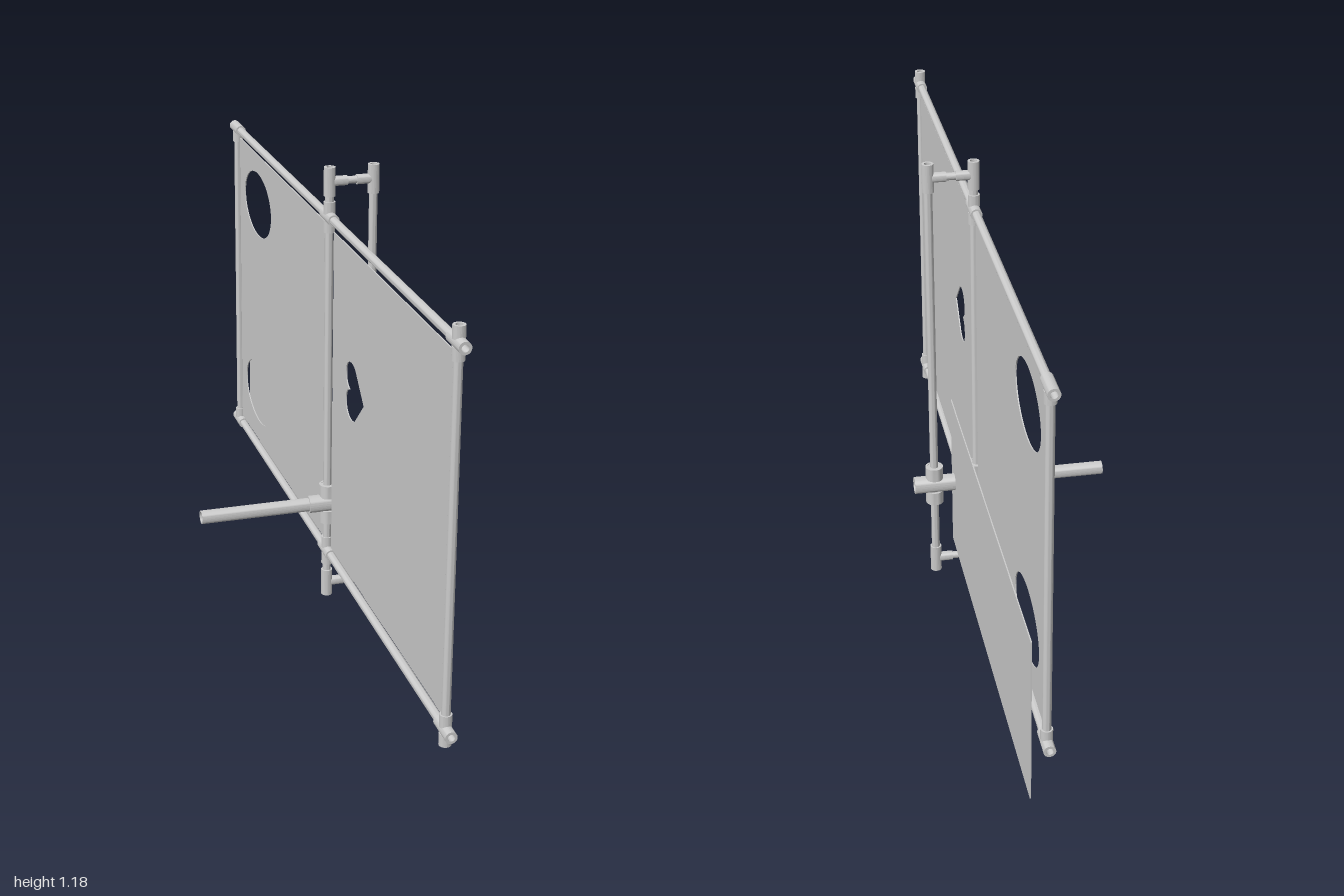
import * as THREE from 'three';
import { toCreasedNormals } from 'three/addons/utils/BufferGeometryUtils.js';

const material = new THREE.MeshStandardMaterial({ color: 0xcccccc });
const FRAME_X = 0.086, POST_Z = 0.036, OUTER_X = 0.2;
const TOP_Y = 1.055, BOTTOM_Y = 0.132, CROSS_Y = 0.27;
const FRONT_Z = 0.963, BACK_Z = -0.9;
const PIPE = 0.0108, BORE = 0.0085, SOCKET = 0.0148;

// Hollow tube along an axis, running from offset a to b about the centre point
function tube(name, axis, centre, a, b, outer = PIPE, bore = BORE) {
  const profile = [[bore, a], [outer, a], [outer, b], [bore, b], [bore, a]]
    .map(([r, y]) => new THREE.Vector2(r, y));
  let geometry = new THREE.LatheGeometry(profile, 28);
  if (axis === 'x') geometry.rotateZ(-Math.PI / 2);
  if (axis === 'z') geometry.rotateX(Math.PI / 2);
  geometry = toCreasedNormals(geometry, 0.6);
  const mesh = new THREE.Mesh(geometry, material);
  mesh.name = name;
  mesh.position.set(...centre);
  return mesh;
}

// Pipe fitting: a straight run plus side arms (+1 and/or -1) on another axis
function fitting(name, centre, runAxis, armAxis, arms, half, outer = SOCKET, bore = BORE, armOuter = outer) {
  const group = new THREE.Group();
  group.name = name;
  group.add(tube('fittingRun', runAxis, centre, -half, half, outer, bore));
  for (const s of arms) {
    const [a, b] = s > 0 ? [bore, half] : [-half, -bore];
    group.add(tube('fittingArm', armAxis, centre, a, b, armOuter, bore));
  }
  return group;
}

// Thin upright sheet in the z-y plane, with optional cut-outs
function sheet(name, x, z0, z1, y0, y1, holes = []) {
  const shape = new THREE.Shape([[z0, y0], [z1, y0], [z1, y1], [z0, y1]].map((p) => new THREE.Vector2(...p)));
  shape.holes.push(...holes);
  const depth = 0.003;
  const geometry = new THREE.ExtrudeGeometry(shape, { depth, bevelEnabled: false, curveSegments: 24 });
  geometry.rotateY(-Math.PI / 2).translate(x + depth / 2, 0, 0);
  const mesh = new THREE.Mesh(geometry, material);
  mesh.name = name;
  return mesh;
}

function ellipseHole(z, y, rz, ry) {
  const path = new THREE.Path();
  path.absellipse(z, y, rz, ry, 0, Math.PI * 2, true);
  return path;
}

// Heart lying on its side, tip towards the front
function heartHole() {
  const y = 0.664, path = new THREE.Path();
  path.moveTo(0.34, y);
  path.lineTo(0.272, y + 0.066);
  path.bezierCurveTo(0.245, y + 0.086, 0.195, y + 0.076, 0.195, y + 0.038);
  path.bezierCurveTo(0.195, y + 0.018, 0.205, y + 0.004, 0.225, y);
  path.bezierCurveTo(0.205, y - 0.004, 0.195, y - 0.018, 0.195, y - 0.038);
  path.bezierCurveTo(0.195, y - 0.076, 0.245, y - 0.086, 0.272, y - 0.066);
  path.lineTo(0.34, y);
  return path;
}

export function createModel() {
  const model = new THREE.Group();
  const half = 0.0375, crossHalf = 0.054;

  // Horizontal rails with their fittings
  for (const [label, y, inward] of [['top', TOP_Y, -1], ['bottom', BOTTOM_Y, 1]]) {
    model.add(
      tube(label + 'FrontRail', 'z', [FRAME_X, y, 0], POST_Z + 0.015, FRONT_Z - 0.015),
      tube(label + 'BackRail', 'z', [FRAME_X, y, 0], BACK_Z + 0.015, POST_Z - 0.015),
      fitting(label + 'FrontCross', [FRAME_X, y, FRONT_Z], 'z', 'y', [1, -1], half + 0.002),
      fitting(label + 'PostCross', [FRAME_X, y, POST_Z], 'z', 'y', [1, -1], half + 0.002),
      fitting(label + 'BackTee', [FRAME_X, y, BACK_Z], 'z', 'y', [inward], half),
    );
  }

  // Upright pipes at both ends of the frame
  for (const [name, z] of [['frontUpright', FRONT_Z], ['backUpright', BACK_Z]]) {
    model.add(tube(name, 'y', [FRAME_X, 0, z], BOTTOM_Y + 0.015, TOP_Y - 0.015));
  }

  // Centre post pieces between fittings
  for (const [a, b] of [[0.045, BOTTOM_Y - 0.015], [BOTTOM_Y + 0.015, CROSS_Y - 0.025],
    [CROSS_Y + 0.025, TOP_Y - 0.015], [TOP_Y + 0.015, 1.135]]) {
    model.add(tube('centrePost', 'y', [FRAME_X, 0, POST_Z], a, b));
  }

  // Outer post pieces
  for (const [a, b] of [[0.045, CROSS_Y - 0.025], [CROSS_Y + 0.025, 1.135]]) {
    model.add(tube('outerPost', 'y', [OUTER_X, 0, POST_Z], a, b));
  }

  // Short links joining the two posts at top and bottom
  for (const y of [0.037, 1.146]) {
    model.add(
      fitting('innerLinkTee', [FRAME_X, y, POST_Z], 'y', 'x', [1], 0.037, SOCKET, BORE, 0.0125),
      fitting('outerLinkTee', [OUTER_X, y, POST_Z], 'y', 'x', [-1], 0.037, SOCKET, BORE, 0.0125),
      tube('postLink', 'x', [0, y, POST_Z], 0.115, 0.172, 0.0095, 0.0075),
    );
    // Widen the link sockets so they reach towards the middle
    model.add(tube('linkSocket', 'x', [FRAME_X, y, POST_Z], 0.014, 0.045, 0.0125, 0.009));
    model.add(tube('linkSocket', 'x', [OUTER_X, y, POST_Z], -0.045, -0.014, 0.0125, 0.009));
  }

  // Large crosses and the side handle
  for (const [name, x] of [['innerCross', FRAME_X + 0.002], ['outerCross', OUTER_X]]) {
    model.add(fitting(name, [x, CROSS_Y, POST_Z], 'x', 'y', [1, -1], crossHalf, 0.0228, 0.018, 0.0235));
  }
  // Collars closing the gap between the large sockets and the thin posts
  for (const x of [FRAME_X, OUTER_X]) for (const s of [1, -1]) {
    const end = CROSS_Y + s * 0.045;
    model.add(tube('postCollar', 'y', [x, end, POST_Z], -0.008, 0.008, 0.019, BORE));
  }
  model.add(tube('handle', 'x', [0, CROSS_Y, POST_Z], -0.256, 0.06, 0.0178, 0.014));

  // Panels
  model.add(
    sheet('frontPanel', FRAME_X, 0.08, 0.946, 0.157, 1.028, [heartHole()]),
    sheet('backPanel', FRAME_X, -0.869, 0.002, 0.157, 1.033,
      [ellipseHole(-0.668, 0.888, 0.146, 0.092), ellipseHole(-0.668, 0.31, 0.146, 0.092)]),
    sheet('lowerPlate', 0.143, -1, 0.09, 0.058, 0.49),
  );
  return model;
}
